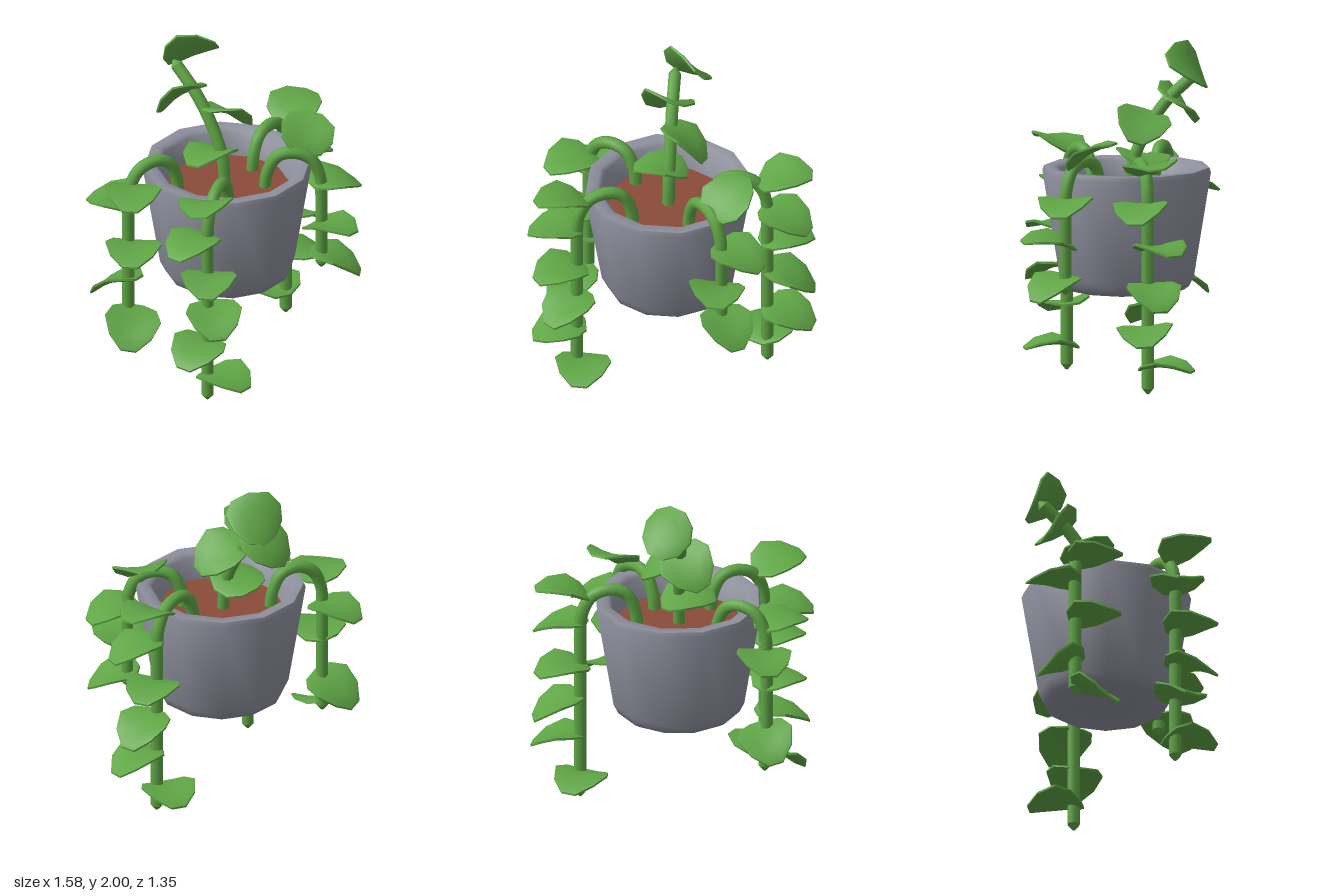
import * as THREE from 'three';
import { toCreasedNormals } from 'three/addons/utils/BufferGeometryUtils.js';

const mat = (name, color) => Object.assign(new THREE.MeshStandardMaterial({ color }), { name });

// Leaf blade: x runs base to tip, z across; top and bottom skins of rings joined at the rim
function leafGeometry() {
  const half = [[0.165, 0.045], [0.09, 0.125], [-0.02, 0.165], [-0.11, 0.13], [-0.155, 0.05]];
  const outline = [...half, ...half.map(([x, z]) => [x, -z]).reverse()];
  const n = outline.length, rings = [0.02, 0.5, 0.9, 1, 1, 0.9, 0.5, 0.02];
  const lift = [0.011, 0.011, 0.011, 0.006, -0.006, -0.011, -0.011, -0.011];
  const pos = [], index = [];
  rings.forEach((s, r) => outline.forEach(([x, z]) => {
    const u = x * s, v = z * s;
    pos.push(u, lift[r] + 1.1 * v * v - 1.3 * u * u + 0.004, v);
  }));
  for (let r = 0; r < rings.length - 1; r++) for (let i = 0; i < n; i++) {
    const a = r * n + i, b = r * n + (i + 1) % n;
    index.push(a, b, a + n, b, b + n, a + n);
  }
  // close the tiny centre holes
  const last = (rings.length - 1) * n;
  for (let i = 1; i < n - 1; i++) {
    index.push(0, i + 1, i);
    index.push(last, last + i, last + i + 1);
  }
  const g = new THREE.BufferGeometry();
  g.setAttribute('position', new THREE.Float32BufferAttribute(pos, 3));
  // keep the winding outward
  g.setIndex(index);
  g.computeVertexNormals();
  if (g.attributes.normal.getY(n) < 0) {
    for (let i = 0; i < index.length; i += 3) [index[i + 1], index[i + 2]] = [index[i + 2], index[i + 1]];
    g.setIndex(index);
  }
  return toCreasedNormals(g, 0.7);
}

export function createModel() {
  const model = new THREE.Group();
  model.name = 'pottedPlant';
  const green = mat('leaf green', 0x5fa545);
  const grey = mat('pot grey', 0x8e909d);
  const brown = mat('soil brown', 0x8b4b3a);
  const add = (parent, geo, material, name) => {
    const m = new THREE.Mesh(geo, material);
    m.name = name;
    parent.add(m);
    return m;
  };

  // Twelve-sided pot with a rounded rim, open at the top
  const profile = [[0, 0.54], [0.335, 0.54], [0.365, 0.56], [0.395, 0.62], [0.495, 1.235],
    [0.485, 1.262], [0.425, 1.262], [0.4, 1.24], [0.36, 1.08]].map(p => new THREE.Vector2(...p));
  const pot = add(model, toCreasedNormals(new THREE.LatheGeometry(profile, 12, Math.PI / 12), 0.75), grey, 'pot');
  pot.position.set(0.01, 0, -0.08);

  // Soil
  const soilGeo = new THREE.CylinderGeometry(0.365, 0.35, 0.03, 12, 1, false, Math.PI / 12);
  add(model, soilGeo, brown, 'soil').position.set(0.01, 1.095, -0.08);

  const leafGeo = leafGeometry();
  const R = 0.037;

  // Stem tube with a blunt tapered tip
  function stem(group, curve, segments) {
    add(group, new THREE.TubeGeometry(curve, segments, R, 8), green, 'stem');
    const tip = add(group, new THREE.CylinderGeometry(0.008, R, 0.035, 8), green, 'stemTip');
    const dir = curve.getTangent(1);
    tip.position.copy(curve.getPoint(1)).addScaledVector(dir, 0.0175);
    tip.quaternion.setFromUnitVectors(new THREE.Vector3(0, 1, 0), dir);
  }

  // Leaf at a centre point, heading (hx, hz), with slopes gx = dy/dx and gz = dy/dz
  function leaf(group, [x, y, z, gx, gz], hx, hz) {
    const up = new THREE.Vector3(-gx, 1, -gz).normalize();
    const along = new THREE.Vector3(hx, hx * gx + hz * gz, hz).normalize();
    const side = new THREE.Vector3().crossVectors(along, up);
    const m = add(group, leafGeo, green, 'leaf');
    m.quaternion.setFromRotationMatrix(new THREE.Matrix4().makeBasis(along, up, side));
    m.position.set(x, y, z);
  }

  // Trailing vines: base in the soil, hanging position, lowest point, leaves
  const vines = [
    { name: 'frontVine', base: [-0.07, 0.16], hang: [-0.295, 0.412], end: 0.035, leaves: [
      [-0.34, 1.345, 0.49, 0, 0.25], [-0.41, 1.09, 0.46, 0.1, 0], [-0.33, 0.85, 0.52, 0, 0],
      [-0.29, 0.6, 0.51, 0.1, -0.3], [-0.38, 0.38, 0.47, 0.1, -0.2], [-0.21, 0.165, 0.47, 0, 0]] },
    { name: 'backVine', base: [0.21, -0.21], hang: [0.49, -0.398], end: 0.035, leaves: [
      [0.57, 1.345, -0.45, 0.15, -0.2], [0.62, 1.1, -0.4, -0.25, 0], [0.55, 0.87, -0.5, 0, 0],
      [0.6, 0.61, -0.48, -0.35, 0.25], [0.62, 0.38, -0.43, -0.25, 0], [0.44, 0.165, -0.49, 0, 0]] },
    { name: 'leftVine', base: [0.21, 0], hang: [0.525, 0.105], end: 0.6, leaves: [
      [0.48, 1.4, -0.03, 0, -0.6], [0.62, 1.11, 0.07, -0.2, 0], [0.55, 0.88, 0.19, 0, 0.2],
      [0.6, 0.63, 0.15, -0.4, -0.1]] },
    { name: 'rightVine', base: [-0.27, -0.145], hang: [-0.595, -0.115], end: 0.39, leaves: [
      [-0.615, 1.225, 0.02, 0, 0], [-0.64, 1.08, -0.23, 0.1, 0], [-0.61, 0.845, 0.01, 0, 0],
      [-0.64, 0.54, -0.2, 0.2, 0.5], [-0.62, 0.35, 0.02, 0.1, -0.55]] },
  ];
  for (const { name, base, hang, end, leaves } of vines) {
    const group = new THREE.Group();
    group.name = name;
    model.add(group);
    const at = (t, y) => new THREE.Vector3(
      base[0] + (hang[0] - base[0]) * t, y, base[1] + (hang[1] - base[1]) * t);
    const path = new THREE.CurvePath();
    const arch = [at(0, 1.08), at(0.05, 1.2), at(0.22, 1.305), at(0.5, 1.33), at(0.8, 1.29), at(0.97, 1.18), at(1, 1.05)];
    path.add(new THREE.CatmullRomCurve3(arch));
    path.add(new THREE.LineCurve3(at(1, 1.05), at(1, end)));
    stem(group, path, 40);
    // heading mixes the outward direction with the side the leaf sits on
    const out = new THREE.Vector2(hang[0] - base[0], hang[1] - base[1]).normalize();
    for (const l of leaves) {
      leaf(group, l, (l[0] - hang[0]) + out.x * 0.05, (l[2] - hang[1]) + out.y * 0.05);
    }
  }

  // Upright shoot leaning back
  const shoot = new THREE.Group();
  shoot.name = 'uprightShoot';
  model.add(shoot);
  const shootPath = new THREE.CatmullRomCurve3([[0, 1.08, -0.09], [-0.01, 1.28, -0.11],
    [-0.05, 1.47, -0.18], [-0.11, 1.64, -0.28], [-0.185, 1.78, -0.41]].map(p => new THREE.Vector3(...p)));
  stem(shoot, shootPath, 16);
  leaf(shoot, [-0.1, 1.86, -0.425, -0.1, 1.4], 0.8, 0.3);
  leaf(shoot, [-0.19, 1.625, -0.335, 0.35, 0.9], -0.8, -0.3);
  leaf(shoot, [0.05, 1.53, -0.195, -0.5, 0.45], 0.9, -0.1);
  leaf(shoot, [-0.08, 1.31, -0.14, 0, 0.2], -0.8, 0.5);

  return model;
}
